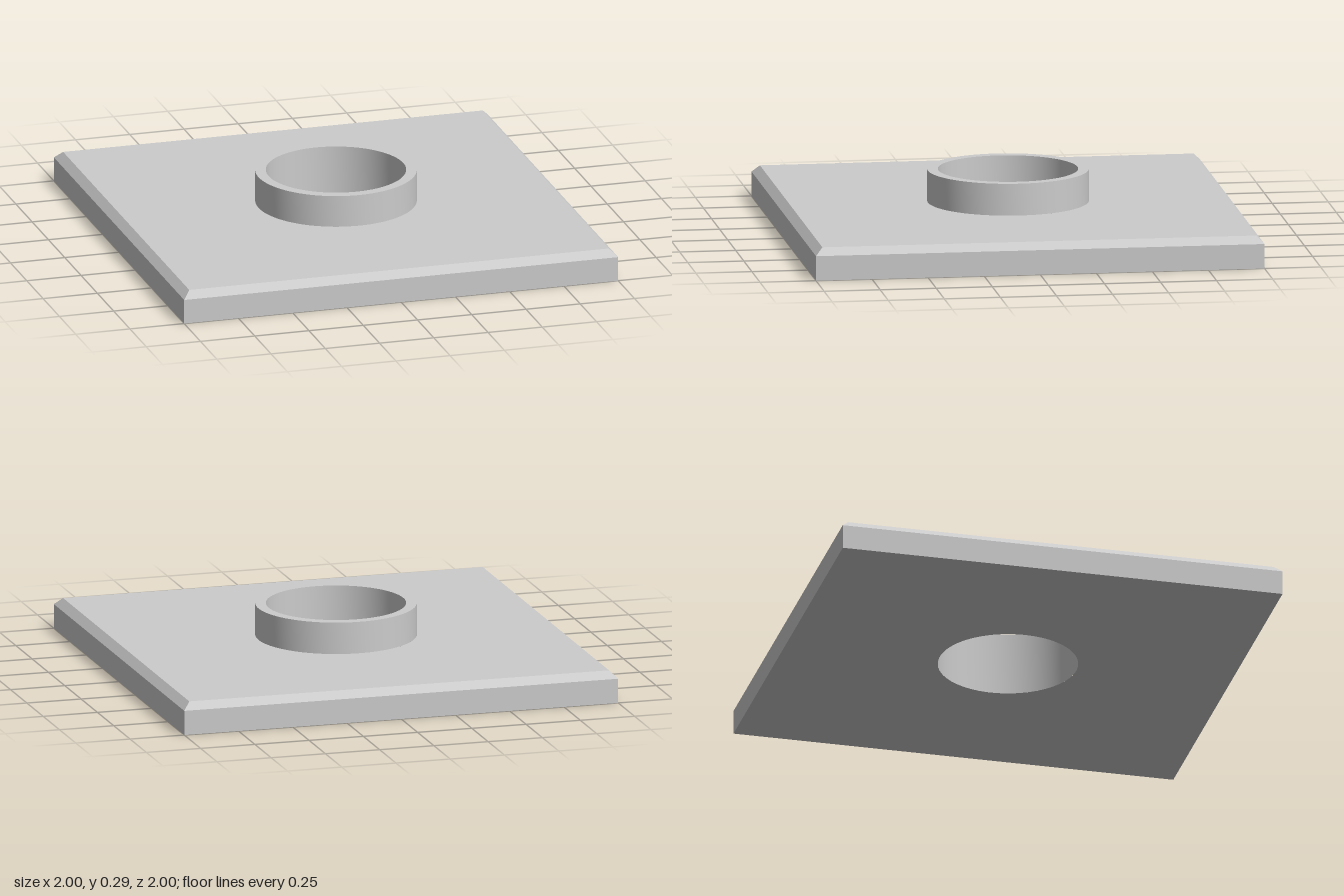
import * as THREE from 'three';
import { mergeGeometries, toCreasedNormals } from 'three/addons/utils/BufferGeometryUtils.js';

const SEGMENTS = 96;
const HALF = 1, EDGE_Y = 0.11, PLATE_Y = 0.143, CHAMFER = 0.033;
const OUTER_R = 0.357, BORE_R = 0.31, COLLAR_Y = 0.286;

// Square face with a round hole, lying flat at height y
function holedSquare(half, radius, y, facing) {
  const shape = new THREE.Shape([
    new THREE.Vector2(-half, -half), new THREE.Vector2(half, -half),
    new THREE.Vector2(half, half), new THREE.Vector2(-half, half),
  ]);
  shape.holes.push(new THREE.Path().absarc(0, 0, radius, 0, Math.PI * 2, true));
  return new THREE.ShapeGeometry(shape, SEGMENTS)
    .rotateX(-facing * Math.PI / 2)
    .translate(0, y, 0);
}

// Four walls between two squares, open above and below
function squareWalls(halfBottom, halfTop, y0, y1) {
  return new THREE.CylinderGeometry(halfTop * Math.SQRT2, halfBottom * Math.SQRT2, y1 - y0, 4, 1, true, Math.PI / 4)
    .translate(0, (y0 + y1) / 2, 0);
}

export function createModel() {
  const group = new THREE.Group();
  group.name = 'flangedPlate';

  // Square plate with a chamfered upper edge
  const plateGeometry = mergeGeometries([
    holedSquare(HALF, BORE_R, 0, -1),
    squareWalls(HALF, HALF, 0, EDGE_Y),
    squareWalls(HALF, HALF - CHAMFER, EDGE_Y, PLATE_Y),
    holedSquare(HALF - CHAMFER, OUTER_R, PLATE_Y, 1),
  ]);
  const plate = new THREE.Mesh(plateGeometry,
    new THREE.MeshStandardMaterial({ color: 0xcccccc, flatShading: true }));
  plate.name = 'plate';

  // Raised collar whose bore runs through the plate
  const profile = [
    [OUTER_R, PLATE_Y], [OUTER_R, COLLAR_Y], [BORE_R, COLLAR_Y], [BORE_R, 0],
  ].map(([r, y]) => new THREE.Vector2(r, y));
  const collar = new THREE.Mesh(
    toCreasedNormals(new THREE.LatheGeometry(profile, SEGMENTS), Math.PI / 6),
    new THREE.MeshStandardMaterial({ color: 0xcccccc }));
  collar.name = 'collar';

  group.add(plate, collar);
  return group;
}
